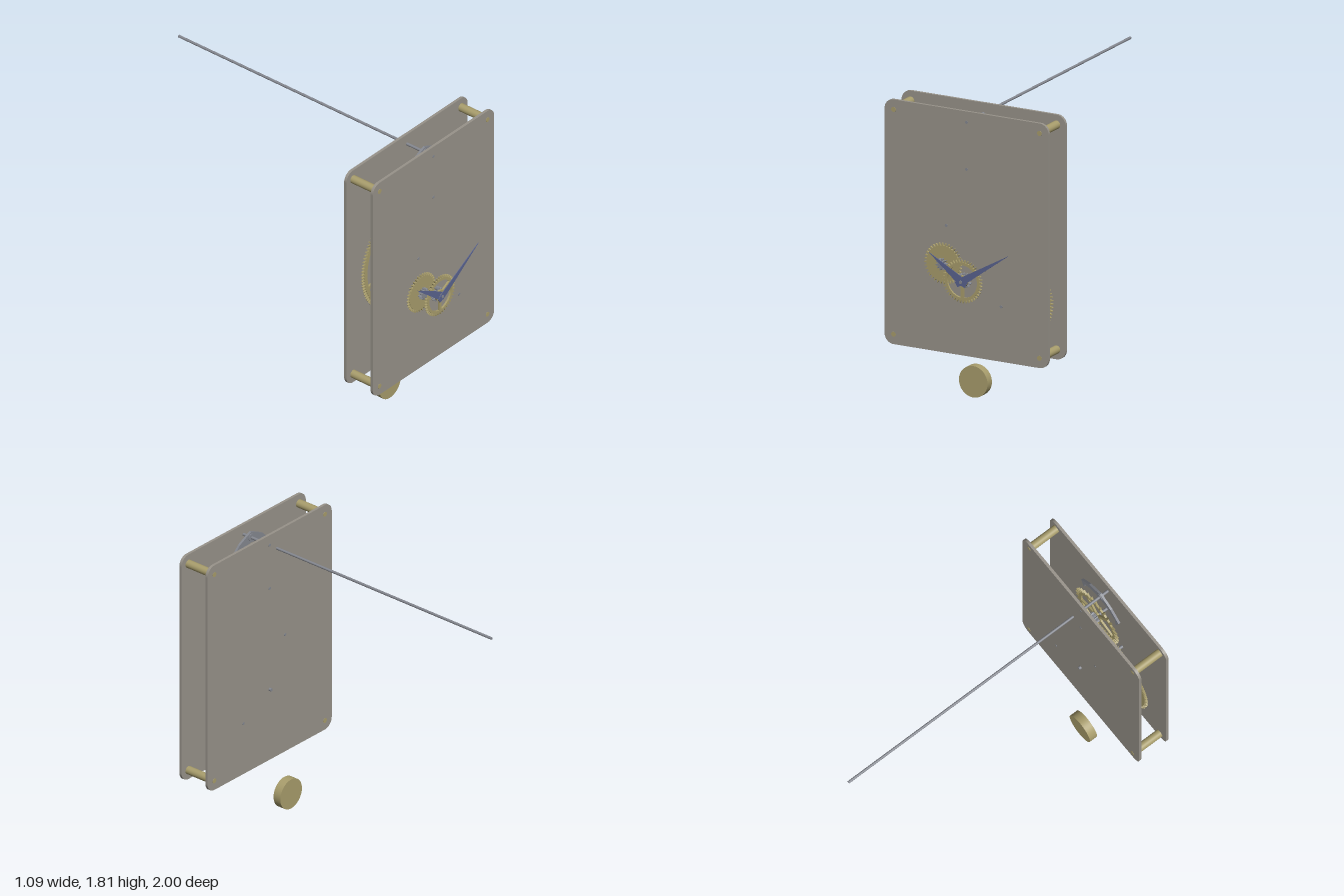
import * as THREE from 'three';

const mat = (color) => new THREE.MeshStandardMaterial({ color });

export function createModel() {
  const model = new THREE.Group();
  const plateMat = mat(0x98938a), brass = mat(0xa89d6c), steel = mat(0x858890), blue = mat(0x59638f);

  function add(name, geometry, material, x, y, z) {
    const mesh = new THREE.Mesh(geometry, material);
    mesh.name = name;
    mesh.position.set(x, y, z);
    model.add(mesh);
    return mesh;
  }

  // Round bar along z between z0 and z1
  function bar(name, x, y, r, z0, z1, material, sides = 32) {
    const g = new THREE.CylinderGeometry(r, r, z1 - z0, sides).rotateX(Math.PI / 2);
    return add(name, g, material, x, y, (z0 + z1) / 2);
  }

  // Flat shape with thickness, from z0 to z1
  function slab(name, shape, x, y, z0, z1, material) {
    const g = new THREE.ExtrudeGeometry(shape, { depth: z1 - z0, bevelEnabled: false, curveSegments: 10 });
    return add(name, g, material, x, y, z0);
  }

  const polar = (r, a) => new THREE.Vector2(r * Math.cos(a), r * Math.sin(a));

  // Toothed outline; pointed teeth lean to one side, normal teeth are tapered
  function gearShape(r, teeth, depth, pointed = false) {
    const pts = [], step = Math.PI * 2 / teeth;
    for (let i = 0; i < teeth; i++) {
      const a = i * step;
      if (pointed) {
        pts.push(polar(r - depth, a), polar(r, a + step * 0.15), polar(r - depth, a + step * 0.45));
      } else {
        pts.push(polar(r - depth, a), polar(r - depth * 0.4, a + step * 0.06), polar(r, a + step * 0.17),
          polar(r, a + step * 0.33), polar(r - depth * 0.4, a + step * 0.44), polar(r - depth, a + step * 0.5));
      }
    }
    return new THREE.Shape(pts);
  }

  // Cut the windows between the spokes
  function cutSpokes(shape, count, rIn, rOut, width, start = -Math.PI / 2) {
    for (let i = 0; i < count; i++) {
      const a0 = start + i * Math.PI * 2 / count, a1 = a0 + Math.PI * 2 / count;
      const o = Math.asin(width / 2 / rOut), n = Math.asin(Math.min(0.95, width / 2 / rIn));
      const hole = new THREE.Path(), p = polar(rIn, a0 + n);
      hole.moveTo(p.x, p.y);
      const q = polar(rOut, a0 + o);
      hole.lineTo(q.x, q.y);
      hole.absarc(0, 0, rOut, a0 + o, a1 - o, false);
      const s = polar(rIn, a1 - n);
      hole.lineTo(s.x, s.y);
      hole.absarc(0, 0, rIn, a1 - n, a0 + n, true);
      shape.holes.push(hole);
    }
    return shape;
  }

  function wheel(name, [x, y], r, teeth, z, { spokes = 0, depth = 0.02, pointed = false, rim = 0.045 } = {}) {
    const shape = gearShape(r, teeth, depth, pointed);
    if (spokes) cutSpokes(shape, spokes, Math.max(0.035, r * 0.16), r - rim, 0.02);
    return slab(name, shape, x, y, z - 0.006, z + 0.006, brass);
  }

  const pinion = (name, [x, y], r, teeth, z0, z1) =>
    slab(name, gearShape(r, teeth, r * 0.35), x, y, z0, z1, steel);

  // Plates with rounded corners
  const w = 0.545, h = 0.74, c = 0.06;
  const plate = new THREE.Shape();
  plate.absarc(w - c, h - c, c, 0, Math.PI / 2);
  plate.absarc(-w + c, h - c, c, Math.PI / 2, Math.PI);
  plate.absarc(-w + c, -h + c, c, Math.PI, Math.PI * 1.5);
  plate.absarc(w - c, -h + c, c, Math.PI * 1.5, Math.PI * 2);
  slab('backPlate', plate, 0, 1.07, 0.71, 0.727, plateMat);
  slab('frontPlate', plate, 0, 1.07, 0.91, 0.927, plateMat);

  // Corner pillars with narrower ends through the plates
  for (const x of [-0.485, 0.485]) {
    for (const y of [0.39, 1.75]) {
      bar('pillar', x, y, 0.025, 0.727, 0.91, brass);
      bar('pillarPin', x, y, 0.015, 0.708, 0.929, brass);
    }
  }

  // Arbors
  const barrelAt = [0.23, 0.663], centre = [0, 0.795], third = [-0.135, 1.1];
  const escape = [0, 1.46], anchorAt = [0, 1.745], motion = [-0.14, 0.877];
  for (const p of [barrelAt, third, escape, anchorAt]) bar('arbor', ...p, 0.009, 0.708, 0.929, steel, 20);
  bar('centreArbor', ...centre, 0.01, 0.695, 1, steel, 20);
  bar('motionArbor', ...motion, 0.01, 0.92, 0.982, steel, 20);

  // Going train
  wheel('greatWheel', barrelAt, 0.247, 72, 0.753, { spokes: 5 });
  pinion('centrePinion', centre, 0.035, 10, 0.732, 0.772);
  wheel('centreWheel', centre, 0.302, 90, 0.78, { spokes: 5 });
  pinion('thirdPinion', third, 0.033, 10, 0.762, 0.798);
  wheel('thirdWheel', third, 0.366, 108, 0.806, { spokes: 5 });
  pinion('escapePinion', escape, 0.034, 10, 0.788, 0.824);
  wheel('escapeWheel', escape, 0.198, 30, 0.832, { spokes: 5, depth: 0.03, pointed: true, rim: 0.05 });

  // Barrel and ratchet
  bar('barrel', ...barrelAt, 0.098, 0.838, 0.888, steel, 48);
  slab('ratchet', gearShape(0.056, 16, 0.012, true), ...barrelAt, 0.888, 0.908, steel);

  // Anchor with its two pallets
  const half = [[0.03, 0.025], [0.1, -0.01], [0.175, -0.085], [0.15, -0.155], [0.14, -0.09], [0.08, -0.045]];
  const anchor = new THREE.Shape([[0, 0.037], ...half, [0, -0.03],
    ...half.map(([x, y]) => [-x, y]).reverse()].map(([x, y]) => new THREE.Vector2(x, y)));
  slab('anchor', anchor, ...anchorAt, 0.85, 0.864, steel);
  bar('anchorHub', ...anchorAt, 0.025, 0.846, 0.868, steel);

  // Motion work in front of the plate
  pinion('cannonPinion', centre, 0.045, 12, 0.938, 0.962);
  wheel('minuteWheel', motion, 0.125, 36, 0.952, { depth: 0.016 });
  pinion('minutePinion', motion, 0.036, 10, 0.958, 0.982);
  wheel('hourWheel', centre, 0.131, 40, 0.974, { spokes: 3, depth: 0.016, rim: 0.032 });
  bar('hourPipe', ...centre, 0.02, 0.96, 0.988, steel);

  // Tapered hands
  function hand(name, length, angle, width, z) {
    const s = new THREE.Shape();
    s.moveTo(length, 0);
    s.lineTo(0.02, width);
    s.lineTo(-0.035, width * 0.7);
    s.lineTo(-0.035, -width * 0.7);
    s.lineTo(0.02, -width);
    slab(name, s, ...centre, z, z + 0.004, blue).rotation.z = angle;
  }
  hand('hourHand', 0.262, 2.545, 0.025, 0.984);
  hand('minuteHand', 0.386, 0.573, 0.022, 0.993);

  // Pendulum rod and bob
  bar('pendulumRod', 0, 1.745, 0.008, -1, 0.655, steel, 20);
  bar('pendulumBob', -0.095, 0.095, 0.095, 0.628, 0.68, brass, 64);

  return model;
}
